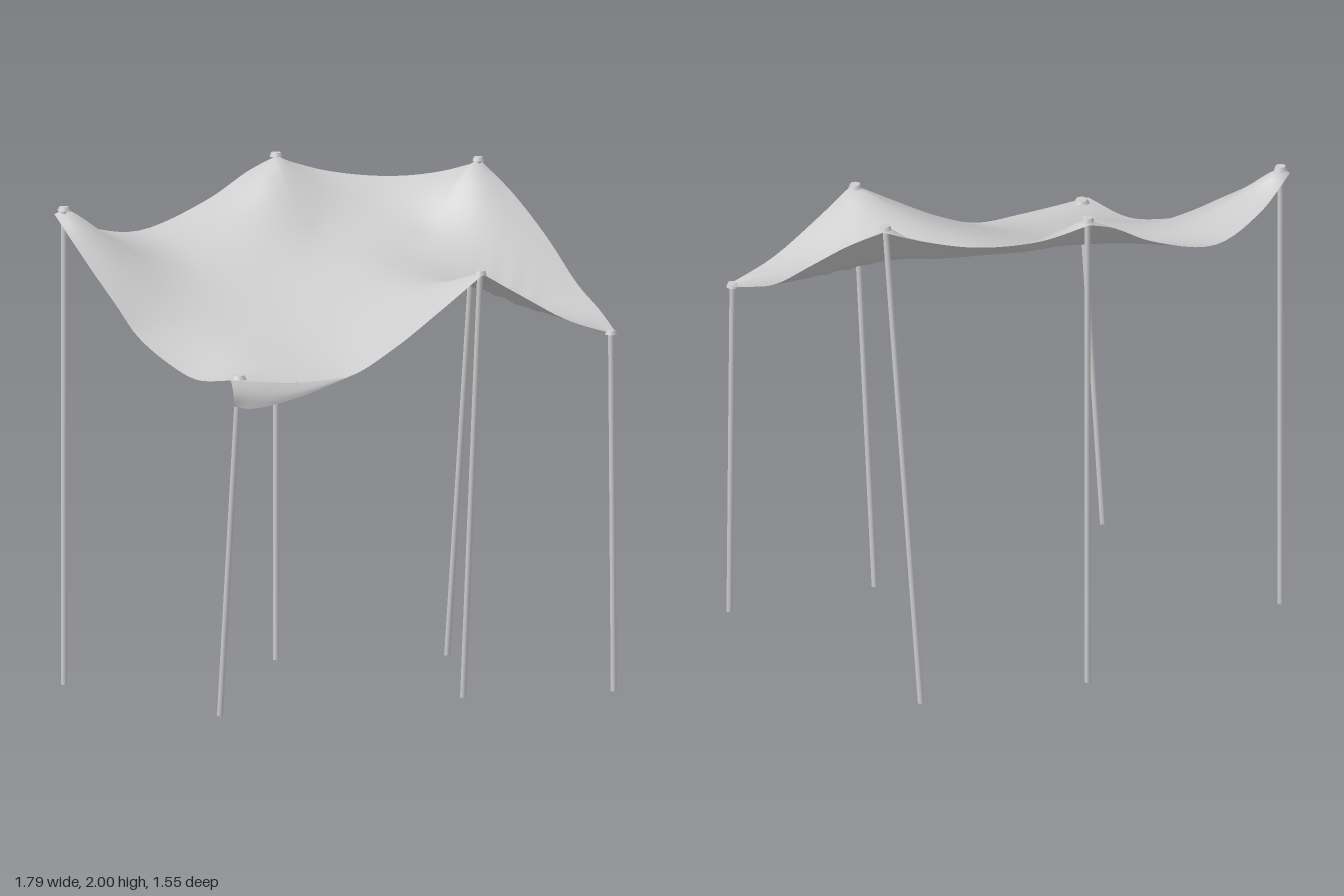
import * as THREE from 'three';

const V = (p) => new THREE.Vector3(...p);
const grey = new THREE.MeshStandardMaterial({ color: 0xcccccc });
const cloth = new THREE.MeshStandardMaterial({ color: 0xcccccc, side: THREE.DoubleSide });

// Poles: top point and z of the foot
const POLES = [
  { name: 'backRightPole', top: [-0.812, 1.868, -0.66], footZ: -0.66, cap: 0.026 },
  { name: 'backPole', top: [0.224, 1.985, -0.66], footZ: -0.66, cap: 0.026 },
  { name: 'leftPole', top: [0.828, 1.973, -0.155], footZ: -0.355, cap: 0.024 },
  { name: 'frontLeftPole', top: [0.79, 1.405, 0.748], footZ: 0.765, cap: 0.024 },
  { name: 'frontPole', top: [0.225, 1.68, 0.65], footZ: 0.54, cap: 0.026 },
  { name: 'frontRightPole', top: [-0.81, 1.342, 0.46], footZ: 0.34, cap: 0.031 },
];

// Hem of the cloth: one smooth curve from each corner to the next
const HEM = [
  [[-0.84, 1.85, -0.685], [-0.62, 1.77, -0.745], [-0.35, 1.73, -0.775], [-0.05, 1.83, -0.735], [0.12, 1.93, -0.7], [0.235, 1.975, -0.685]],
  [[0.235, 1.975, -0.685], [0.4, 1.92, -0.575], [0.58, 1.9, -0.42], [0.72, 1.92, -0.28], [0.85, 1.965, -0.165]],
  [[0.85, 1.965, -0.165], [0.875, 1.86, 0], [0.89, 1.71, 0.2], [0.875, 1.55, 0.42], [0.85, 1.47, 0.6], [0.805, 1.4, 0.77]],
  [[0.805, 1.4, 0.77], [0.6, 1.47, 0.725], [0.4, 1.58, 0.69], [0.225, 1.68, 0.67]],
  [[0.225, 1.68, 0.67], [0, 1.54, 0.66], [-0.2, 1.42, 0.645], [-0.4, 1.33, 0.625], [-0.6, 1.32, 0.575], [-0.86, 1.34, 0.475]],
  [[-0.86, 1.34, 0.475], [-0.875, 1.32, 0.28], [-0.885, 1.36, 0.12], [-0.895, 1.45, -0.08], [-0.895, 1.55, -0.21], [-0.88, 1.69, -0.42], [-0.84, 1.85, -0.685]],
];

// Sag of the cloth inside the hem
const INNER = [
  [-0.35, 1.655, -0.5], [-0.3, 1.575, -0.2], [-0.3, 1.5, 0.05], [-0.3, 1.425, 0.35],
  [-0.62, 1.595, -0.3], [-0.65, 1.4, 0.2], [0.2, 1.745, -0.35], [0.2, 1.65, 0],
  [0, 1.55, 0.35], [0.2, 1.615, 0.38], [0.55, 1.74, -0.1], [0.55, 1.575, 0.28], [0.55, 1.5, 0.52],
];

// Smooth height field through scattered points (thin-plate spline)
function heightField(pts) {
  const k = (r2) => (r2 < 1e-12 ? 0 : r2 * Math.log(r2));
  const row = (x, z) => [...pts.map((p) => k((x - p[0]) ** 2 + (z - p[2]) ** 2)), 1, x, z];
  const n = pts.length + 3;
  const m = pts.map((p) => [...row(p[0], p[2]), p[1]]);
  for (let c = 0; c < 3; c++) {
    m.push([...pts.map((p) => [1, p[0], p[2]][c]), 0, 0, 0, 0]);
  }
  for (let c = 0; c < n; c++) {
    let best = c;
    for (let r = c; r < n; r++) if (Math.abs(m[r][c]) > Math.abs(m[best][c])) best = r;
    [m[c], m[best]] = [m[best], m[c]];
    for (let r = 0; r < n; r++) {
      if (r === c) continue;
      const f = m[r][c] / m[c][c];
      for (let j = c; j <= n; j++) m[r][j] -= f * m[c][j];
    }
  }
  const w = m.map((r, i) => r[n] / r[i]);
  return (x, z) => row(x, z).reduce((s, v, i) => s + v * w[i], 0);
}

// Diagonal wrinkles beside the front pole
function wrinkle(x, z) {
  const across = 0.67 * (x - 0.56) + 0.74 * (z - 0.36);
  const along = 0.74 * (x - 0.56) - 0.67 * (z - 0.36);
  return 0.008 * Math.sin(across * 75 + along * 4) * Math.exp(-((across / 0.14) ** 2) - (along / 0.17) ** 2);
}

function makeGeometry(positions, index) {
  const g = new THREE.BufferGeometry();
  g.setAttribute('position', new THREE.Float32BufferAttribute(positions, 3));
  g.setIndex(index);
  g.computeVertexNormals();
  return g;
}

// Canopy: rings growing from the middle out to the hem
function canopyGeometry() {
  const per = 28, rings = 40;
  const hem = HEM.flatMap((pts) =>
    new THREE.CatmullRomCurve3(pts.map(V)).getPoints(per).slice(0, per));
  const n = hem.length;
  const fit = hem.filter((_, i) => i % 4 === 0).map((p) => p.toArray());
  const height = heightField([...fit, ...INNER, ...POLES.map((p) => p.top)]);
  const miss = hem.map((p) => p.y - height(p.x, p.z));
  const pos = [0, height(0, 0), 0], index = [];
  for (let i = 1; i <= rings; i++) {
    const s = i / rings;
    hem.forEach((p, j) => {
      const x = p.x * s, z = p.z * s;
      pos.push(x, height(x, z) + miss[j] * s ** 8 + wrinkle(x, z), z);
    });
  }
  const id = (i, j) => (i === 0 ? 0 : 1 + (i - 1) * n + (j % n));
  for (let i = 0; i < rings; i++) {
    for (let j = 0; j < n; j++) {
      index.push(id(i, j), id(i + 1, j + 1), id(i + 1, j));
      if (i > 0) index.push(id(i, j), id(i, j + 1), id(i + 1, j + 1));
    }
  }
  return makeGeometry(pos, index);
}

// Flap: loose corner hanging over the front right pole
function flapGeometry() {
  const fold = new THREE.CatmullRomCurve3(HEM[4].slice(3).reverse().map(V));
  const edge = new THREE.CatmullRomCurve3(
    [[-0.86, 1.24, 0.495], [-0.8, 1.23, 0.53], [-0.6, 1.27, 0.597], [-0.4, 1.33, 0.627]].map(V));
  const cols = 24, rows = 6, pos = [], index = [];
  for (let i = 0; i <= cols; i++) {
    const a = fold.getPoint(i / cols), b = edge.getPoint(i / cols);
    for (let j = 0; j <= rows; j++) {
      const t = j / rows, p = a.clone().lerp(b, t);
      const bulge = 0.016 * Math.sin(Math.PI * t) * (1 - i / cols);
      pos.push(p.x - bulge * 0.4, p.y, p.z + bulge);
      if (i < cols && j < rows) {
        const k = i * (rows + 1) + j;
        index.push(k, k + 1, k + rows + 1, k + 1, k + rows + 2, k + rows + 1);
      }
    }
  }
  return makeGeometry(pos, index);
}

// Pole with a small flat cap on top of the cloth
function makePole({ name, top, footZ, cap: radius }) {
  const group = new THREE.Group();
  group.name = name;
  const a = V([top[0], 0, footZ]), b = V(top);
  const dir = b.clone().sub(a);
  const shaft = new THREE.Mesh(new THREE.CylinderGeometry(0.012, 0.012, dir.length(), 12), grey);
  shaft.name = 'shaft';
  shaft.position.copy(a).lerp(b, 0.5);
  shaft.quaternion.setFromUnitVectors(new THREE.Vector3(0, 1, 0), dir.normalize());
  const cap = new THREE.Mesh(new THREE.CylinderGeometry(radius * 0.75, radius, 0.016, 16), grey);
  cap.name = 'cap';
  cap.position.copy(b).setY(b.y + 0.004);
  group.add(shaft, cap);
  return group;
}

export function createModel() {
  const model = new THREE.Group();
  model.name = 'canopy';
  const sheet = new THREE.Mesh(canopyGeometry(), cloth);
  sheet.name = 'clothSheet';
  const flap = new THREE.Mesh(flapGeometry(), cloth);
  flap.name = 'cornerFlap';
  model.add(sheet, flap, ...POLES.map(makePole));
  return model;
}
